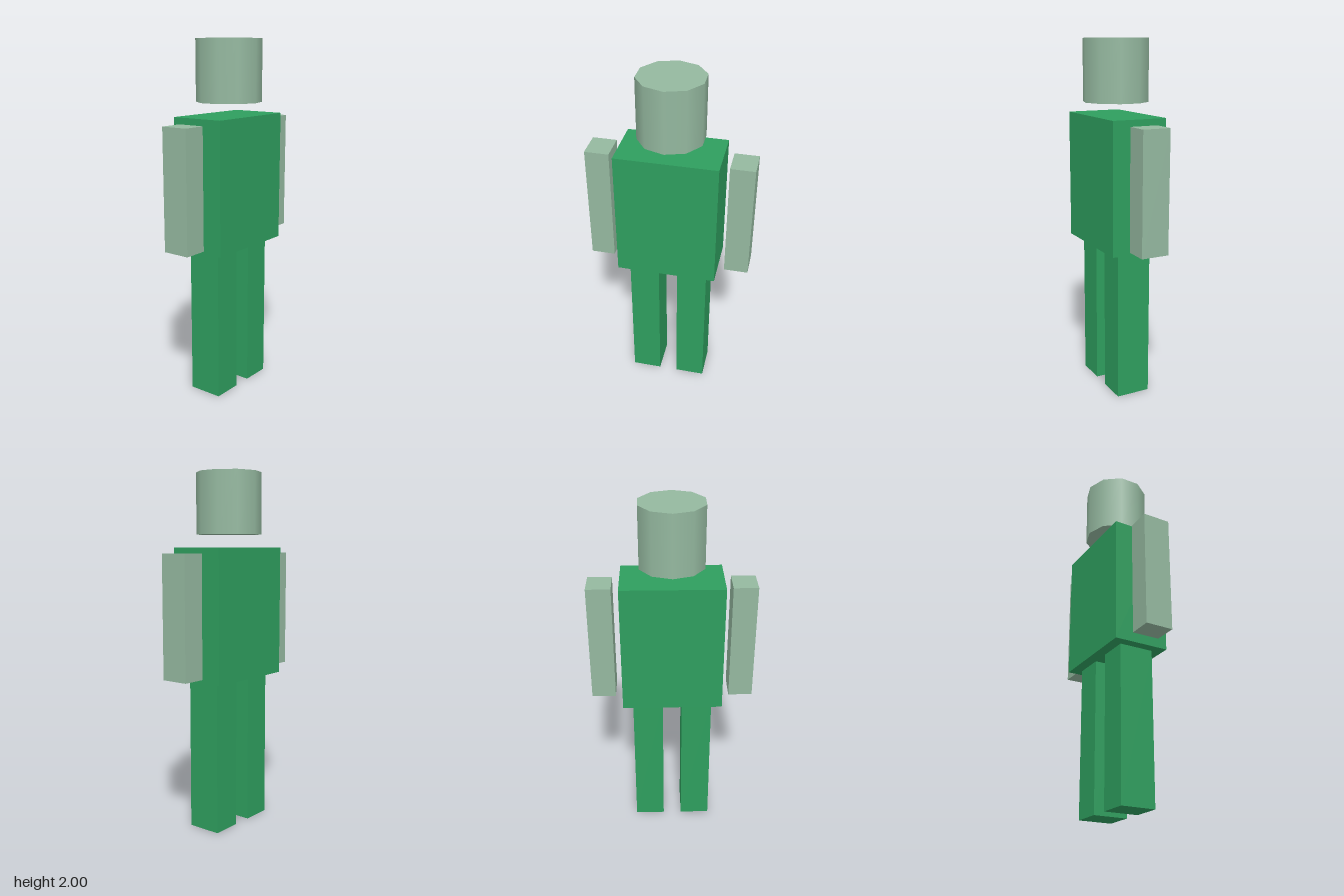
import * as THREE from 'three';

export function createModel() {
  const model = new THREE.Group();
  const green = new THREE.MeshStandardMaterial({ color: 0x2e9e5e });
  const pale = new THREE.MeshStandardMaterial({ color: 0x94b89f });

  const add = (name, geometry, material, x, y) => {
    const mesh = new THREE.Mesh(geometry, material);
    mesh.name = name;
    mesh.position.set(x, y, 0);
    model.add(mesh);
  };

  // Ten-sided head with smooth sides, floating above the torso
  add('head', new THREE.CylinderGeometry(0.182, 0.182, 0.34, 10), pale, 0, 1.83);

  add('torso', new THREE.BoxGeometry(0.558, 0.73, 0.316), green, 0, 1.223);

  // Mirrored limbs
  for (const [side, s] of [['left', 1], ['right', -1]]) {
    add(side + 'Arm', new THREE.BoxGeometry(0.134, 0.67, 0.158), pale, s * 0.389, 1.223);
    add(side + 'Leg', new THREE.BoxGeometry(0.17, 0.858, 0.196), green, s * 0.139, 0.429);
  }

  return model;
}
